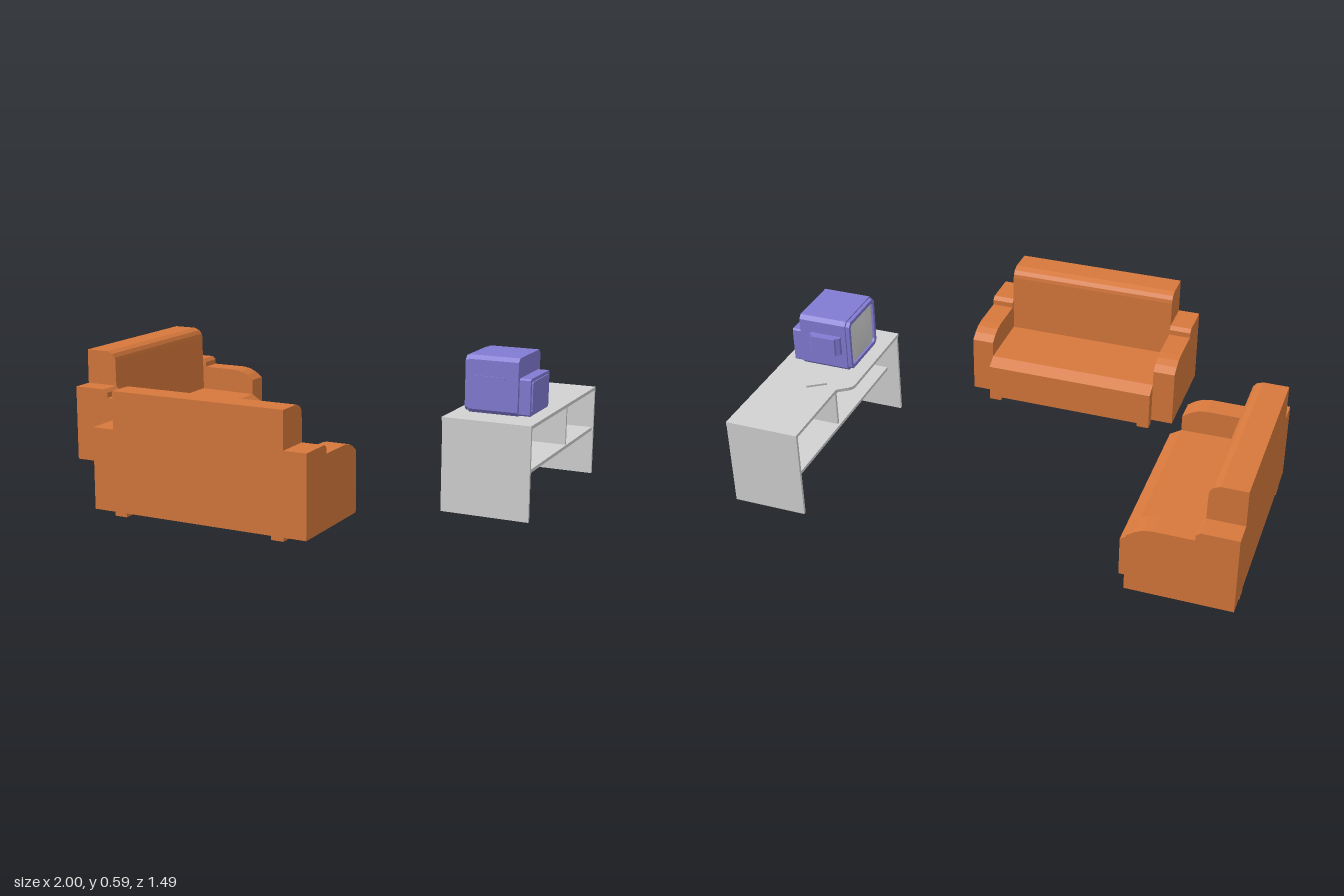
import * as THREE from 'three';

const orange = new THREE.MeshStandardMaterial({ name: 'orangeFabric', color: 0xd6783c });
const grey = new THREE.MeshStandardMaterial({ name: 'lightGrey', color: 0xd2d2d2 });
const purple = new THREE.MeshStandardMaterial({ name: 'purplePlastic', color: 0x827bd4 });

function add(parent, name, geometry, material, x = 0, y = 0, z = 0) {
  const mesh = new THREE.Mesh(geometry, material);
  mesh.name = name;
  mesh.position.set(x, y, z);
  parent.add(mesh);
  return mesh;
}

// Box given by its minimum and maximum corners
function block(parent, name, material, [x0, y0, z0], [x1, y1, z1]) {
  return add(parent, name, new THREE.BoxGeometry(x1 - x0, y1 - y0, z1 - z0), material,
    (x0 + x1) / 2, (y0 + y1) / 2, (z0 + z1) / 2);
}

const outline = (points) => new THREE.Shape(points.map(([x, y]) => new THREE.Vector2(x, y)));

const extrude = (shape, depth) => new THREE.ExtrudeGeometry(shape, { depth, bevelEnabled: false });

// Rectangle around the origin with cut corners
function cutRect(w, h, c) {
  const x = w / 2, y = h / 2;
  return [[-x + c, -y], [x - c, -y], [x, -y + c], [x, y - c],
    [x - c, y], [-x + c, y], [-x, y - c], [-x, -y + c]];
}

// Sofa facing local +x, its back on x = 0
function makeSofa(name) {
  const sofa = new THREE.Group();
  sofa.name = name;
  const half = 0.355, arm = 0.09;
  const middle = [[0, 0.02], [0.45, 0.02], [0.45, 0.165], [0.405, 0.193], [0.145, 0.197],
    [0.14, 0.44], [0.137, 0.455], [0.125, 0.47], [0.1, 0.48], [0, 0.48]];
  const side = [[0, 0.02], [0.405, 0.02], [0.405, 0.258], [0.375, 0.28], [0.345, 0.294], [0.31, 0.3],
    [0.157, 0.3], [0.157, 0.322], [0.14, 0.335], [0, 0.335]];
  add(sofa, 'seatAndBack', extrude(outline(middle), half * 2), orange, 0, 0, -half);
  for (const s of [-1, 1]) {
    add(sofa, 'armrest', extrude(outline(side), arm), orange, 0, 0, s > 0 ? half : -half - arm);
    for (const [a, b] of [[0, 0.08], [0.41, 0.45]]) {
      const z = s * (half - 0.025);
      block(sofa, 'foot', orange, [a, 0.005, z - 0.025], [b, 0.02, z + 0.025]);
    }
  }
  return sofa;
}

// Stand with a stepped top, two end panels, a shelf and a divider
function makeStand() {
  const stand = new THREE.Group();
  stand.name = 'televisionStand';
  const top = outline([[0.645, -0.115], [0.995, -0.115], [0.995, 0.71], [0.7, 0.71], [0.7, 0.375],
    [0.695, 0.362], [0.66, 0.337], [0.65, 0.325], [0.645, 0.31]]);
  add(stand, 'standTop', extrude(top, 0.013).rotateX(-Math.PI / 2), grey, 0, 0.352, 0);
  block(stand, 'frontPanel', grey, [0.648, 0, 0.102], [0.995, 0.352, 0.114]);
  block(stand, 'backPanel', grey, [0.7, 0, -0.708], [0.995, 0.352, -0.696]);
  block(stand, 'shelf', grey, [0.7, 0.183, -0.696], [0.99, 0.196, 0.102]);
  block(stand, 'divider', grey, [0.71, 0.196, -0.358], [0.985, 0.352, -0.346]);
  // Remote lying on the top
  const remote = block(stand, 'remote', grey, [0.75, 0.365, -0.37], [0.83, 0.373, -0.345]);
  remote.rotation.y = 0.6;
  return stand;
}

// Television facing -x
function makeTelevision() {
  const tv = new THREE.Group();
  tv.name = 'television';
  const y = 0.48, z = -0.11;
  const turn = (geometry) => geometry.rotateY(Math.PI / 2);
  add(tv, 'cabinet', turn(extrude(outline(cutRect(0.25, 0.22, 0.015)), 0.197)), purple, 0.71, y, z);

  const frame = outline(cutRect(0.235, 0.21, 0.015));
  frame.holes.push(new THREE.Path(cutRect(0.205, 0.18, 0.01).map(([a, b]) => new THREE.Vector2(a, b))));
  add(tv, 'bezel', turn(extrude(frame, 0.015)), purple, 0.695, y, z);

  // Bulging screen
  const glass = new THREE.PlaneGeometry(0.205, 0.18, 10, 10);
  const p = glass.attributes.position;
  for (let i = 0; i < p.count; i++) {
    const u = p.getX(i) / 0.1025, v = p.getY(i) / 0.09;
    p.setZ(i, 0.016 * (1 - u * u) * (1 - v * v));
  }
  glass.computeVertexNormals();
  add(tv, 'screen', glass.rotateY(-Math.PI / 2), grey, 0.704, y, z);

  // Rear housing with a raised panel
  add(tv, 'rearHousing', turn(extrude(outline(cutRect(0.22, 0.142, 0.006)), 0.045)), purple, 0.905, 0.443, z);
  add(tv, 'rearPanel', turn(extrude(outline(cutRect(0.19, 0.118, 0.005)), 0.006)), purple, 0.949, 0.443, z);

  // Control box on one side, slot trim on the other
  const box = outline([[0.73, 0.233], [0.86, 0.233], [0.86, 0.25], [0.845, 0.256], [0.845, 0.268],
    [0.745, 0.268], [0.745, 0.256], [0.73, 0.25]]);
  add(tv, 'controlBox', extrude(box, 0.075).rotateX(-Math.PI / 2), purple, 0, 0.45, 0);
  block(tv, 'slotTrim', purple, [0.73, 0.503, 0.014], [0.855, 0.515, 0.019]);
  return tv;
}

export function createModel() {
  const model = new THREE.Group();
  model.name = 'livingRoomSet';
  const sideSofa = makeSofa('sideSofa');
  sideSofa.position.set(-1, 0, -0.3);
  const frontSofa = makeSofa('frontSofa');
  frontSofa.position.set(-0.045, 0, 0.745);
  frontSofa.rotation.y = Math.PI / 2;
  model.add(sideSofa, frontSofa, makeStand(), makeTelevision());
  return model;
}
